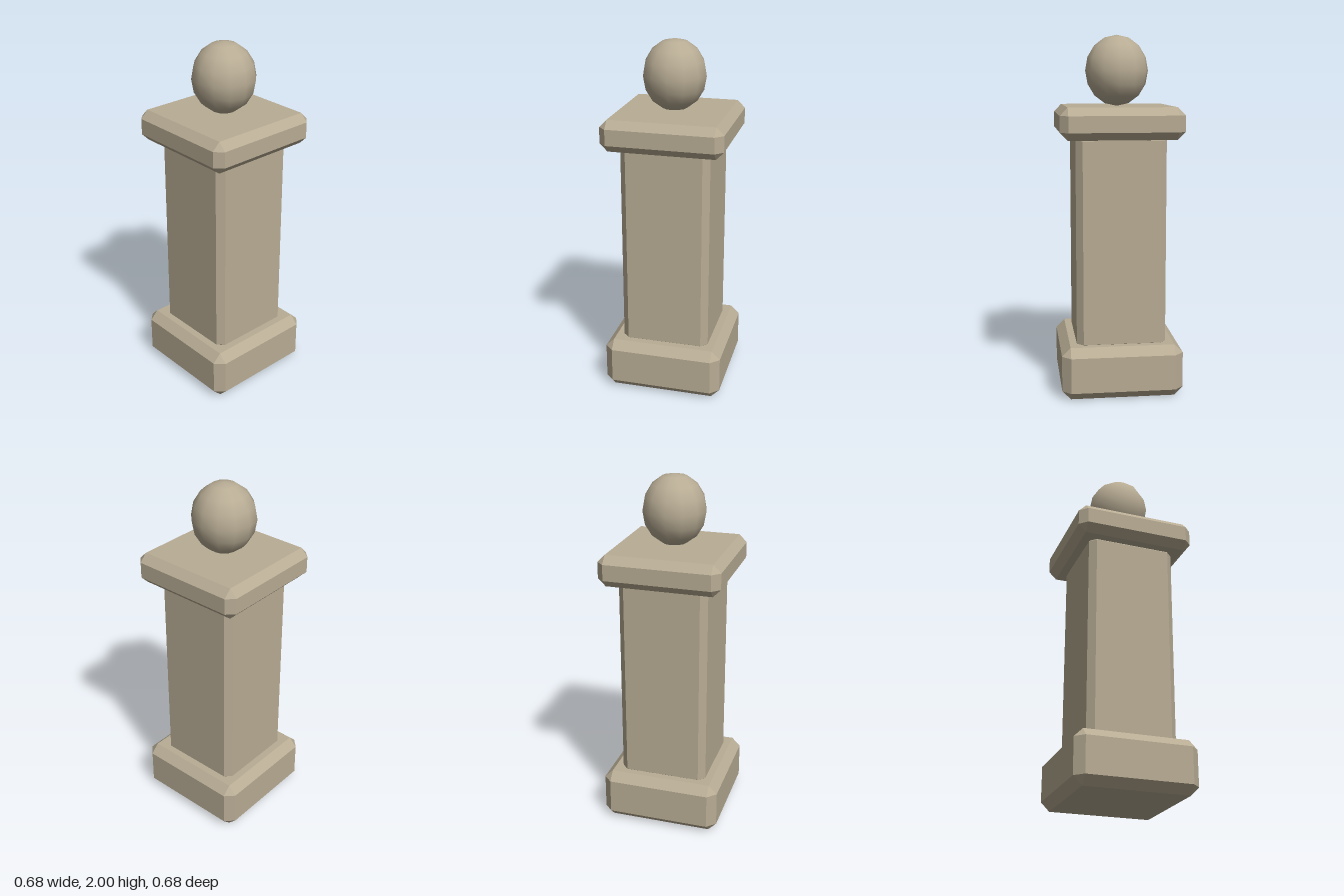
import * as THREE from 'three';
import { ConvexGeometry } from 'three/addons/geometries/ConvexGeometry.js';

// Box with flat chamfers on every edge and corner, spanning y0..y1
function chamferBox(half, y0, y1, c) {
  const hy = (y1 - y0) / 2, points = [];
  for (const sx of [-1, 1]) for (const sy of [-1, 1]) for (const sz of [-1, 1]) {
    const add = (a, b, d) => points.push(new THREE.Vector3(sx * a, sy * b, sz * d));
    add(half, hy - c, half - c);
    add(half - c, hy, half - c);
    add(half - c, hy - c, half);
  }
  return new ConvexGeometry(points).translate(0, (y0 + y1) / 2, 0);
}

export function createModel() {
  const group = new THREE.Group();
  const stone = new THREE.MeshStandardMaterial({ color: 0xb8ac94 });
  stone.name = 'stone';

  const add = (name, geometry) => {
    const mesh = new THREE.Mesh(geometry, stone);
    mesh.name = name;
    group.add(mesh);
    return mesh;
  };

  // Square pillar: plinth, shaft and cap slab
  add('plinth', chamferBox(0.338, 0, 0.295, 0.048));
  add('shaft', chamferBox(0.25, 0.26, 1.465, 0.036));
  add('cap', chamferBox(0.338, 1.435, 1.61, 0.043));

  // Slightly tall ball finial resting on the cap
  const ball = add('finial', new THREE.SphereGeometry(1, 12, 8));
  ball.scale.set(0.177, 0.196, 0.177);
  ball.position.y = 1.804;

  return group;
}
